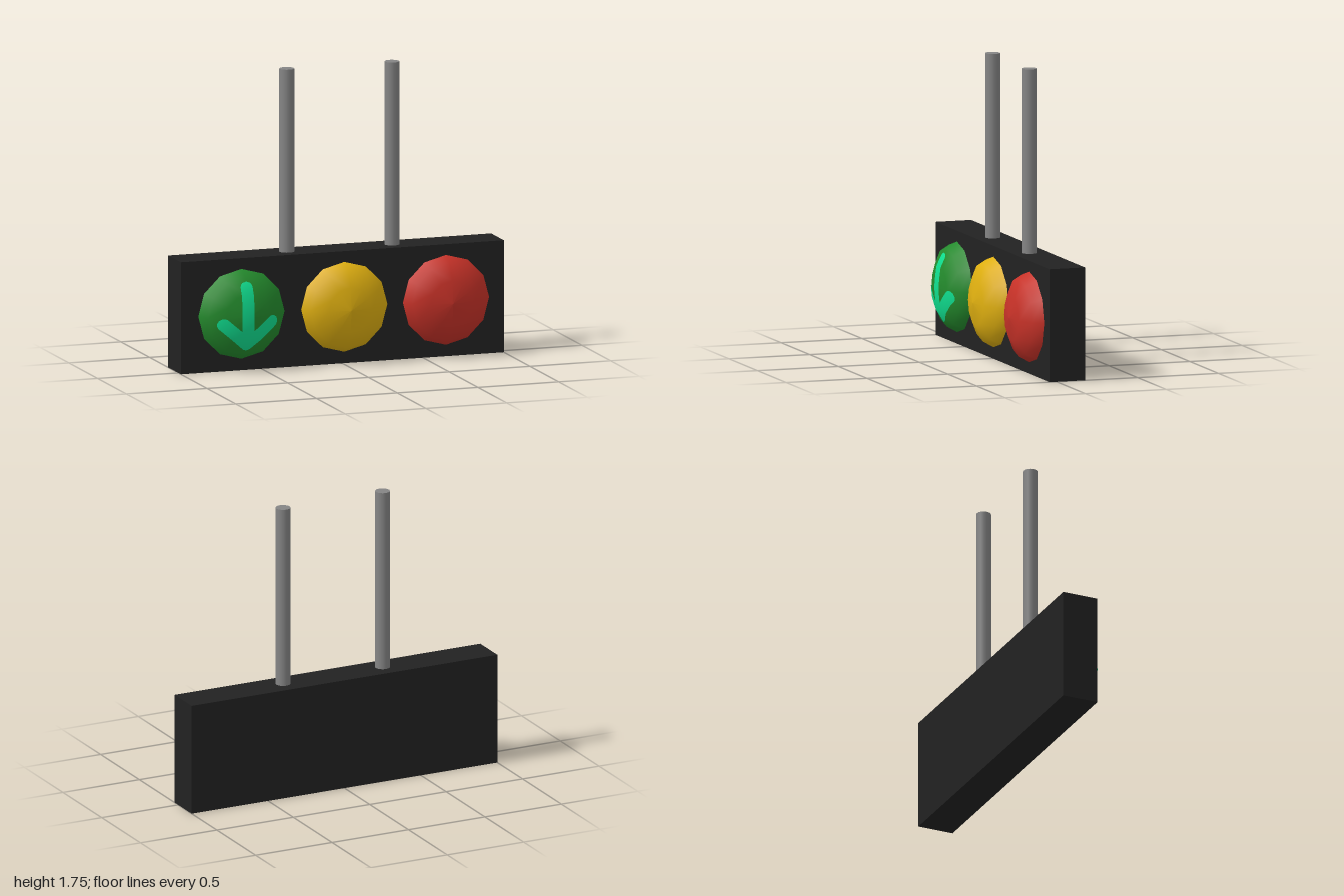
import * as THREE from 'three';

const R = 0.267, DEPTH = 0.128, FRONT = 0.045, LAMP_Y = 0.335;
const STEP = Math.PI / 6;

function material(name, color, side = THREE.FrontSide) {
  const m = new THREE.MeshStandardMaterial({ color, side });
  m.name = name;
  return m;
}

// Height of the twelve-sided dome above the housing at (x, y) from its centre
function domeHeight(x, y) {
  const a = Math.atan2(y, x);
  const mid = (Math.floor(a / STEP) + 0.5) * STEP;
  const rho = Math.hypot(x, y) * Math.cos(a - mid) / Math.cos(STEP / 2);
  for (let i = 0; i < 3; i++) {
    const r0 = R * Math.sin(i * STEP), r1 = R * Math.sin((i + 1) * STEP);
    if (rho <= r1) {
      const t = (rho - r0) / (r1 - r0);
      return DEPTH * THREE.MathUtils.lerp(Math.cos(i * STEP), Math.cos((i + 1) * STEP), t);
    }
  }
  return 0;
}

// Round-ended stroke that hugs the dome, from (x0, y0) to (x1, y1)
function strokeGeometry(x0, y0, x1, y1, half) {
  const len = Math.hypot(x1 - x0, y1 - y0);
  const g = new THREE.PlaneGeometry(1, 1, 48, 10);
  const p = g.attributes.position, n = g.attributes.normal;
  const dx = (x1 - x0) / len, dy = (y1 - y0) / len;
  const v = new THREE.Vector3();
  for (let i = 0; i < p.count; i++) {
    const s = (p.getX(i) + 0.5) * (len + 2 * half) - half;
    const over = Math.max(0, -s, s - len);
    const w = Math.sqrt(Math.max(0, half * half - over * over)) * p.getY(i) * 2;
    const x = x0 + dx * s - dy * w, y = y0 + dy * s + dx * w;
    const z = domeHeight(x, y);
    p.setXYZ(i, x, y, z + 0.004);
    v.set(x / (R * R), y / (R * R), z / (DEPTH * DEPTH)).normalize();
    n.setXYZ(i, v.x, v.y, v.z);
  }
  return g;
}

export function createModel() {
  const model = new THREE.Group();
  model.name = 'trafficSignal';
  const add = (name, geometry, mat, x, y, z) => {
    const mesh = new THREE.Mesh(geometry, mat);
    mesh.name = name;
    mesh.position.set(x, y, z);
    model.add(mesh);
  };

  // Housing
  add('housing', new THREE.BoxGeometry(2, 0.666, 0.22), material('black', 0x222222), 0, 0.333, -0.065);

  // Hanging poles
  const grey = material('grey', 0x858585);
  const pole = new THREE.CylinderGeometry(0.044, 0.044, 1.1, 16);
  add('rightPole', pole, grey, -0.306, 1.204, -0.062);
  add('leftPole', pole, grey, 0.345, 1.204, -0.062);

  // Squashed dome lamps
  const profile = [3, 2, 1, 0].map(i =>
    new THREE.Vector2(R * Math.sin(i * STEP), DEPTH * Math.cos(i * STEP)));
  const dome = new THREE.LatheGeometry(profile, 12).rotateX(Math.PI / 2);
  const lamps = [
    ['greenLamp', material('green', 0x248b2d), -0.625],
    ['yellowLamp', material('yellow', 0xe0b010), 0.012],
    ['redLamp', material('red', 0xc83228), 0.642],
  ];
  for (const [name, mat, x] of lamps) add(name, dome, mat, x, LAMP_Y, FRONT);

  // Down arrow laid on the green lamp
  const teal = material('teal', 0x10e090, THREE.DoubleSide);
  const strokes = {
    arrowShaft: [0, -0.165, 0, 0.17],
    arrowRightArm: [0, -0.165, -0.145, -0.04],
    arrowLeftArm: [0, -0.165, 0.155, -0.035],
  };
  for (const [name, line] of Object.entries(strokes)) {
    add(name, strokeGeometry(...line, 0.037), teal, -0.625, LAMP_Y, FRONT);
  }
  return model;
}
